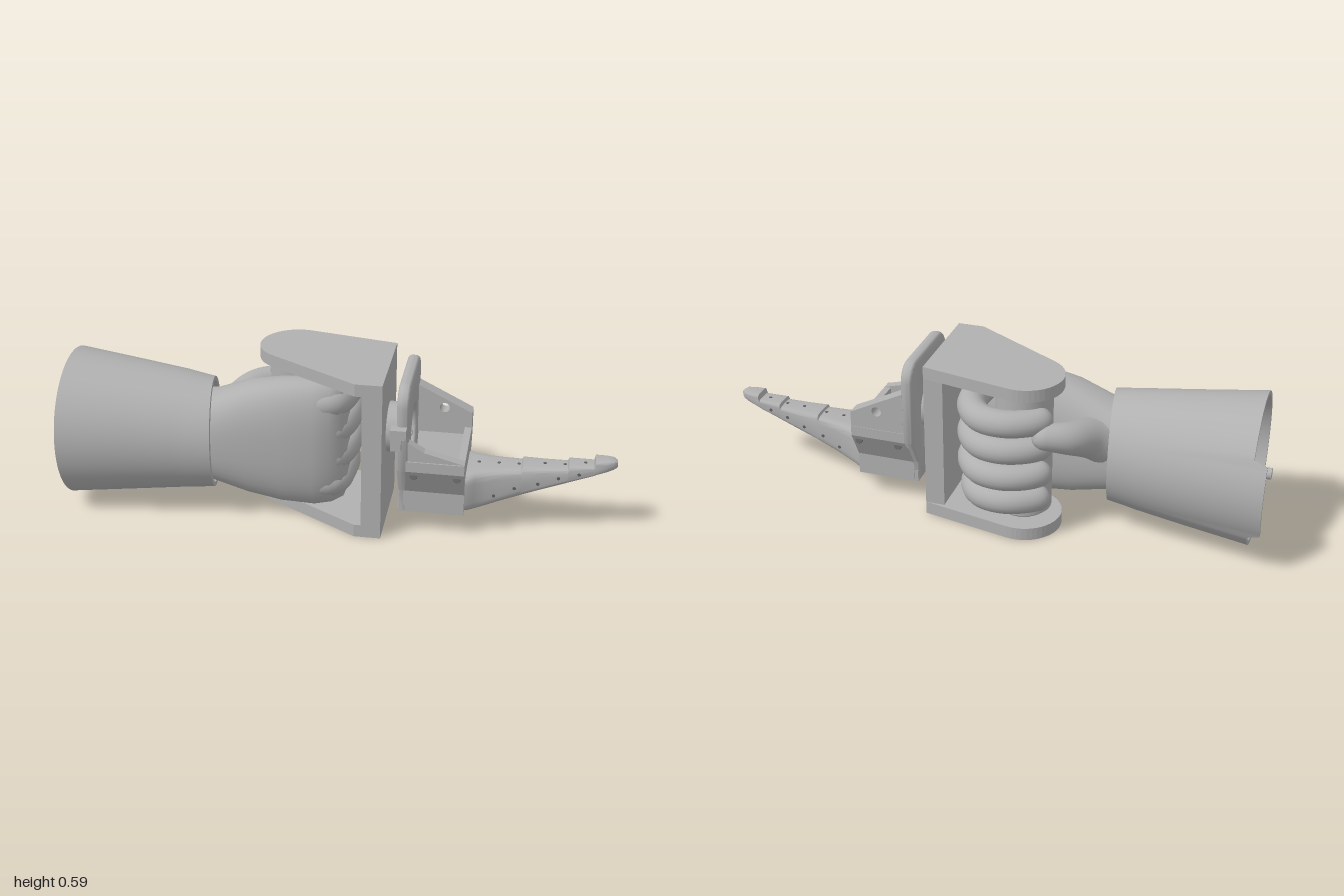
import * as THREE from 'three';
import { toCreasedNormals } from 'three/addons/utils/BufferGeometryUtils.js';

const grey = new THREE.MeshStandardMaterial({ color: 0xb0b0b0 });
grey.name = 'plain grey';
const dark = new THREE.MeshStandardMaterial({ color: 0x606060 });
dark.name = 'hole grey';

// Surface from rings of points: closed around each ring, optionally closed along the length
function skin(rings, closed = false, crease = 0.7) {
  const n = rings[0].length, m = rings.length, index = [];
  for (let j = 0; j < (closed ? m : m - 1); j++) {
    for (let i = 0; i < n; i++) {
      const a = j * n + i, b = j * n + (i + 1) % n, k = ((j + 1) % m) * n;
      const d = k + i, c = k + (i + 1) % n;
      index.push(a, b, d, b, c, d);
    }
  }
  const g = new THREE.BufferGeometry().setFromPoints(rings.flat());
  g.setIndex(index);
  return toCreasedNormals(g, crease);
}

// Ring across x; power 2 is an ellipse, higher is squarer
function ring(x, y0, y1, z0, z1, power = 2, n = 40) {
  const f = v => Math.sign(v) * Math.abs(v) ** (2 / power);
  return Array.from({ length: n }, (_, i) => {
    const a = i / n * Math.PI * 2;
    return new THREE.Vector3(x, (y0 + y1) / 2 + f(Math.cos(a)) * (y1 - y0) / 2,
      (z0 + z1) / 2 + f(Math.sin(a)) * (z1 - z0) / 2);
  });
}

// Solid loft along x, capped at both ends
function loft(sections, power, crease) {
  const rings = sections.map(s => ring(...s, power));
  const cap = s => {
    const y = (s[1] + s[2]) / 2, z = (s[3] + s[4]) / 2;
    return ring(s[0], y, y, z, z, power);
  };
  return skin([cap(sections[0]), ...rings, cap(sections.at(-1))], false, crease);
}

// Round-ended tapering limb along a curve
function limb(points, r0, r1) {
  const curve = new THREE.CatmullRomCurve3(points.map(p => new THREE.Vector3(...p)));
  const steps = 48, n = 18, len = curve.getLength(), fr = curve.computeFrenetFrames(steps);
  const rings = [];
  for (let j = 0; j <= steps; j++) {
    const t = j / steps, base = r0 + (r1 - r0) * t;
    const e = Math.min(1, Math.min(t, 1 - t) * len / base);
    const r = base * Math.sqrt(1 - (1 - e) ** 2), c = curve.getPointAt(t);
    rings.push(Array.from({ length: n }, (_, i) => {
      const a = i / n * Math.PI * 2;
      return c.clone().addScaledVector(fr.normals[j], r * Math.cos(a))
        .addScaledVector(fr.binormals[j], r * Math.sin(a));
    }));
  }
  return skin(rings, false, 1.2);
}

function outline(pts, holes = []) {
  const s = new THREE.Shape(pts.map(p => new THREE.Vector2(...p)));
  for (const [x, y, r] of holes) s.holes.push(new THREE.Path().absarc(x, y, r, 0, Math.PI * 2, true));
  return s;
}
const extrude = (shape, depth, bevel = 0) => new THREE.ExtrudeGeometry(shape, {
  depth, curveSegments: 24, bevelEnabled: bevel > 0, bevelSize: bevel, bevelThickness: bevel, bevelOffset: -bevel, bevelSegments: 4 });
// Prisms from [z, y] outlines along x, [x, z] along y, [x, y] along z
const alongX = (pts, x, d, holes = [], bevel = 0) =>
  extrude(outline(pts.map(([z, y]) => [-z, y]), holes.map(([z, y, r]) => [-z, y, r])), d - 2 * bevel, bevel)
    .rotateY(Math.PI / 2).translate(x + bevel, 0, 0);
const alongY = (pts, y, d, holes = []) =>
  extrude(outline(pts.map(([x, z]) => [x, -z]), holes.map(([x, z, r]) => [x, -z, r])), d).rotateX(-Math.PI / 2).translate(0, y, 0);
const alongZ = (pts, z, d, holes) => extrude(outline(pts, holes), d).translate(0, 0, z);

export function createModel() {
  const root = new THREE.Group();
  const add = (name, g, mat = grey) => {
    const m = new THREE.Mesh(g, mat);
    m.name = name;
    root.add(m);
    return m;
  };
  const box = (name, x0, x1, y0, y1, z0, z1) => add(name, new THREE.BoxGeometry(x1 - x0, y1 - y0, z1 - z0)
    .translate((x0 + x1) / 2, (y0 + y1) / 2, (z0 + z1) / 2));

  // Hollow cuff with a tab at the rear and a slanted wrist opening
  const cuff = [[-0.955, 0.02, 0.56, -0.24, 0.28], [-0.72, 0.047, 0.53, -0.2, 0.247],
    [-0.55, 0.068, 0.508, -0.17, 0.226], [-0.5, 0.075, 0.5, -0.158, 0.222], [-0.435, 0.083, 0.49, -0.15, 0.216]];
  const cuffRing = (s, j, t) => ring(s[0], s[1] + t, s[2] - t, s[3] + t, s[4] - t, 2, 96).map((p, i) => {
    const a = i / 96 * Math.PI * 2;
    if (j === 0 && Math.sin(a) < -0.84) p.x = -1;
    if (j === cuff.length - 1) p.x += 0.024 * Math.sin(a);
    return p;
  });
  add('cuff', skin([...cuff.map((s, j) => cuffRing(s, j, 0)),
    ...cuff.map((s, j) => cuffRing(s, j, 0.016)).reverse()], true, 0.5));
  add('cuffRod', new THREE.CylinderGeometry(0.02, 0.02, 0.42, 20).rotateZ(Math.PI / 2).translate(-0.79, 0.285, 0));

  // Hand: wrist and palm, then thumb and four curled fingers
  add('palm', loft([[-0.6, 0.15, 0.43, -0.08, 0.15], [-0.42, 0.115, 0.455, -0.08, 0.168], [-0.3, 0.078, 0.505, -0.065, 0.17],
    [-0.18, 0.057, 0.53, -0.045, 0.168], [-0.06, 0.05, 0.54, -0.035, 0.158], [0.0, 0.06, 0.535, -0.03, 0.142],
    [0.04, 0.08, 0.52, -0.015, 0.11], [0.055, 0.12, 0.48, 0.01, 0.08]], 2.6, 1.2));
  add('thumb', limb([[-0.45, 0.29, 0.02], [-0.38, 0.35, -0.06], [-0.32, 0.395, -0.165], [-0.21, 0.415, -0.225]], 0.09, 0.04));
  [0.455, 0.352, 0.247, 0.146].forEach((y, i) => {
    const k = i === 3 ? 0.012 : 0;
    add('finger' + (i + 1), limb([[-0.1, y, 0.08], [0.0, y, 0.075], [0.035 - k, y, -0.02], [0.03 - k, y, -0.14],
      [-0.03, y, -0.222 + k], [-0.12, y, -0.24 + k], [-0.21, y, -0.2 + k], [-0.25, y, -0.14]], 0.056, 0.046));
  });

  // Grip bracket: handle between two plates joined by an upright
  const end = [];
  for (let i = 0; i <= 20; i++) {
    const a = 2.14 + (4.91 - 2.14) * i / 20;
    end.push([-0.155 + 0.135 * Math.cos(a), -0.108 + 0.135 * Math.sin(a)]);
  }
  const plate = [[0.195, -0.175], [0.195, 0.205], [0.1, 0.205], ...end];
  add('upperPlate', alongY(plate, 0.546, 0.045));
  add('lowerPlate', alongY(plate, 0, 0.047, [[-0.155, -0.108, 0.028], [0.155, -0.1, 0.022], [0.155, 0.13, 0.022]]));
  box('upright', 0.125, 0.195, 0.04, 0.55, -0.175, 0.205);
  const handle = [[0, 0.045], [0.06, 0.045], [0.06, 0.068], [0.09, 0.068], [0.1, 0.077], [0.1, 0.548]];
  add('handle', toCreasedNormals(new THREE.LatheGeometry(handle.map(p => new THREE.Vector2(...p)), 40), 0.5)
    .translate(-0.152, 0, -0.108));

  // Tool mount and back plate with a dished round socket
  const cz = 0.015, cy = 0.352;
  const disc = (name, r0, r1, x0, x1, z, y, seg = 40, open = false) => add(name,
    new THREE.CylinderGeometry(r1, r0, x1 - x0, seg, 1, open).rotateZ(-Math.PI / 2).translate((x0 + x1) / 2, y, z));
  disc('mount', 0.09, 0.09, 0.19, 0.258, cz, cy);
  const back = [[0.138, 0.085], [-0.107, 0.085], [-0.107, 0.165], [-0.168, 0.27]];
  for (const [z, y, a0] of [[-0.098, 0.507, 0], [0.127, 0.507, Math.PI / 2]]) {
    for (let i = 0; i <= 8; i++) {
      const a = a0 + i / 8 * Math.PI / 2;
      back.push([z - 0.07 * Math.cos(a), y + 0.07 * Math.sin(a)]);
    }
  }
  back.push([0.197, 0.27], [0.138, 0.165]);
  add('backPlate', toCreasedNormals(alongX(back, 0.243, 0.042, [[cz, cy, 0.085]], 0.014), 0.6));
  disc('socketFloor', 0.09, 0.09, 0.25, 0.262, cz, cy);
  for (const dz of [-0.038, 0.038]) for (const dy of [-0.038, 0.038]) {
    disc('socketStud', 0.022, 0.022, 0.26, 0.268, cz + dz, cy + dy, 20);
    disc('socketPin', 0.012, 0.012, 0.266, 0.274, cz + dz, cy + dy, 16);
  }
  disc('socketCentre', 0.02, 0.02, 0.26, 0.268, cz, cy, 20);

  // Open tray: sloped cheeks, drilled floor, front wall and side walls
  const cheek = s => [[0.138, 0.085], [0.138, 0.165], [0.195, 0.27], [0.195, 0.308], [0.168, 0.308], [0.168, 0.28], [0.112, 0.185], [0.112, 0.085]]
    .map(([z, y]) => [s > 0 ? z : 0.028 - z, y]);
  add('leftCheek', alongX(cheek(1), 0.265, 0.215));
  add('rightCheek', alongX(cheek(-1), 0.265, 0.215));
  add('trayFloor', alongY([[0.25, -0.108], [0.48, -0.108], [0.48, 0.138], [0.25, 0.138]], 0.083, 0.045, [[0.38, cz, 0.04]]));
  add('trayFront', alongX([[0.138, 0.085], [0.138, 0.165], [0.195, 0.27], [0.195, 0.308], [-0.167, 0.308], [-0.167, 0.27],
    [-0.11, 0.165], [-0.11, 0.085]], 0.455, 0.025));
  add('leftWall', alongZ([[0.28, 0.28], [0.48, 0.28], [0.48, 0.308], [0.34, 0.345], [0.28, 0.38]], 0.155, 0.035));
  add('rightWall', alongZ([[0.28, 0.28], [0.48, 0.28], [0.48, 0.365], [0.28, 0.465]], -0.165, 0.055, [[0.38, 0.38, 0.018]]));
  box('latch', 0.225, 0.28, 0.405, 0.44, 0.185, 0.228);
  box('latchHook', 0.225, 0.262, 0.355, 0.405, 0.19, 0.215);

  // Tapering stepped blade
  const top = [[0.46, 0.235, 0.12], [0.49, 0.235, 0.115], [0.51, 0.237, 0.097], [0.55, 0.238, 0.082], [0.6, 0.24, 0.07], [0.67, 0.242, 0.06],
    [0.674, 0.252, 0.059], [0.75, 0.252, 0.052], [0.83, 0.254, 0.045], [0.834, 0.266, 0.045], [0.92, 0.267, 0.038],
    [0.924, 0.288, 0.038], [0.965, 0.289, 0.032], [0.988, 0.289, 0.023], [1.0, 0.283, 0.01]];
  const under = x => x < 0.52 ? 0.083 : 0.083 + (x - 0.52) * 0.37;
  add('blade', loft(top.map(([x, y, w]) => [x, under(x), y, 0.014 - w, 0.014 + w]), 5, 0.6));

  // Small drilled marks along the blade and tray
  const mark = (r, x, y, z, rx, rz = 0) => add('drillMark',
    new THREE.CylinderGeometry(r, r, 0.006, 12).rotateX(rx).rotateZ(rz).translate(x, y, z), dark);
  [0.52, 0.59, 0.66, 0.75, 0.82, 0.89].forEach((x, i) => {
    mark(0.006, x, [0.236, 0.238, 0.24, 0.251, 0.252, 0.265][i], 0.014, 0);
    mark(0.006, x + 0.03, under(x + 0.03), 0.014, 0, 0.354);
  });
  [[0.58, 0.145, 0.074], [0.65, 0.175, 0.063], [0.73, 0.195, 0.054], [0.8, 0.22, 0.047], [0.87, 0.238, 0.042]].forEach(([x, y, w]) => {
    for (const s of [-1, 1]) mark(0.006, x, y, 0.014 + s * (w - 0.001), Math.PI / 2);
  });
  for (const x of [0.305, 0.455]) for (const s of [-1, 1]) mark(0.014, x, 0.25, 0.014 + s * 0.17, s * 1.07);
  return root;
}
